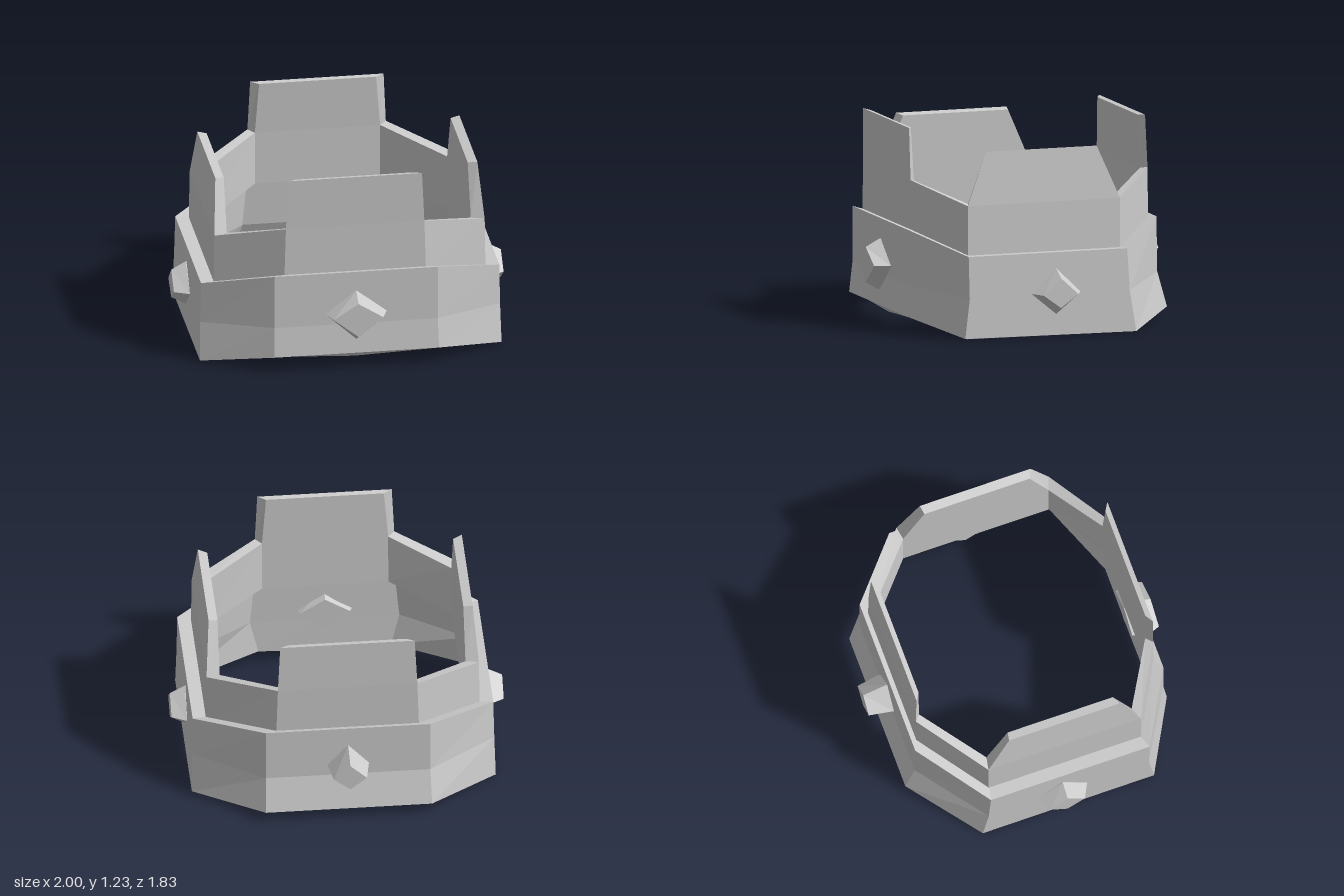
import * as THREE from 'three';

const material = new THREE.MeshStandardMaterial({ color: 0xcccccc, flatShading: true });

// Skins rows of points (each row a closed loop); optionally joins last row to first, or caps the ends.
function skin(name, rows, { closed = false, capStart = false, capEnd = false } = {}) {
  const n = rows[0].length, index = [];
  const last = closed ? rows.length : rows.length - 1;
  for (let j = 0; j < last; j++) {
    const k = (j + 1) % rows.length;
    for (let i = 0; i < n; i++) {
      const m = (i + 1) % n;
      const a = j * n + i, b = j * n + m, c = k * n + m, d = k * n + i;
      index.push(a, b, c, a, c, d);
    }
  }
  const end = (rows.length - 1) * n;
  for (let i = 1; i < n - 1; i++) {
    if (capStart) index.push(0, i + 1, i);
    if (capEnd) index.push(end, end + i, end + i + 1);
  }
  let geometry = new THREE.BufferGeometry();
  geometry.setAttribute('position', new THREE.Float32BufferAttribute(rows.flat(2), 3));
  geometry.setIndex(index);
  geometry = geometry.toNonIndexed();
  geometry.computeVertexNormals();
  const mesh = new THREE.Mesh(geometry, material);
  mesh.name = name;
  return mesh;
}

// Full octagon loop from its left half: centre front, ..., centre back.
const mirrorLoop = (half) => [
  ...half,
  ...half.slice(1, -1).reverse().map(([x, y, z]) => [-x, y, z]),
];

// Half loop from four corners, with a midpoint added at the front and back.
function octagon(front, sideFront, sideBack, back, frontMidY = front[1]) {
  return mirrorLoop([
    [0, frontMidY, front[2]], front, sideFront, sideBack, back, [0, back[1], back[2]],
  ]);
}

// Tapered diamond stud that passes through the wall; place maps (across, up, out) to the model.
function stud(name, place, wide, narrow, outs) {
  const row = (d, out) => [
    [d.mid, d.low, out], [d.mid + d.half, d.side, out],
    [d.mid, d.high, out], [d.mid - d.half, d.side, out],
  ].map(place);
  return skin(name, [row(narrow, outs[0]), row(wide, outs[1]), row(narrow, outs[2])],
    { capStart: true, capEnd: true });
}

export function createModel() {
  const model = new THREE.Group();
  model.name = 'crown';

  // Wide lower band, flared toward its lower edge
  model.add(skin('lowerBand', [
    octagon([0.5, 0.1, 0.84], [0.915, 0.01, 0.61], [0.915, 0, -0.48], [0.5, 0.07, -0.825]),
    octagon([0.495, 0.285, 0.82], [0.91, 0.25, 0.58], [0.91, 0.25, -0.44], [0.495, 0.285, -0.765]),
    octagon([0.495, 0.62, 0.82], [0.905, 0.505, 0.585], [0.905, 0.505, -0.425], [0.495, 0.62, -0.76]),
    octagon([0.42, 0.61, 0.775], [0.82, 0.5, 0.555], [0.82, 0.5, -0.405], [0.42, 0.61, -0.725]),
    octagon([0.45, 0.285, 0.775], [0.85, 0.25, 0.555], [0.85, 0.25, -0.415], [0.45, 0.285, -0.735]),
    octagon([0.4, 0.07, 0.77], [0.895, 0.005, 0.59], [0.9, 0.005, -0.475], [0.49, 0.075, -0.81], 0.05),
  ], { closed: true }));

  // Narrower upper band, set inside the lower one
  model.add(skin('upperBand', [
    octagon([0.43, 0.57, 0.78], [0.825, 0.46, 0.56], [0.825, 0.46, -0.41], [0.43, 0.57, -0.73]),
    octagon([0.42, 0.91, 0.78], [0.82, 0.8, 0.56], [0.82, 0.8, -0.41], [0.42, 0.91, -0.73]),
    octagon([0.38, 0.9, 0.745], [0.74, 0.8, 0.53], [0.74, 0.8, -0.395], [0.38, 0.9, -0.695]),
    octagon([0.38, 0.57, 0.735], [0.74, 0.46, 0.53], [0.74, 0.46, -0.395], [0.38, 0.57, -0.69]),
  ], { closed: true }));

  // Raised front and back panels
  model.add(skin('frontPanel', [
    [[-0.42, 0.91, 0.78], [0.42, 0.91, 0.78], [0.38, 0.9, 0.745], [-0.38, 0.9, 0.745]],
    [[-0.405, 1.225, 0.785], [0.405, 1.225, 0.785], [0.355, 1.22, 0.755], [-0.355, 1.22, 0.755]],
  ], { capEnd: true }));
  model.add(skin('backPanel', [
    [[0.42, 0.91, -0.73], [-0.42, 0.91, -0.73], [-0.38, 0.9, -0.695], [0.38, 0.9, -0.695]],
    [[0.405, 1.225, -0.72], [-0.405, 1.225, -0.72], [-0.355, 1.22, -0.69], [0.355, 1.22, -0.69]],
  ], { capEnd: true }));

  // Raised side panels and side studs
  for (const [side, s] of [['left', 1], ['right', -1]]) {
    const order = (row) => {
      const points = row.map(([x, y, z]) => [s * x, y, z]);
      return s > 0 ? points : points.reverse();
    };
    model.add(skin(side + 'Panel', [
      order([[0.82, 0.8, 0.56], [0.82, 0.8, -0.41], [0.74, 0.8, -0.395], [0.74, 0.8, 0.53]]),
      order([[0.795, 1.12, 0.435], [0.795, 1.12, -0.27], [0.74, 1.11, -0.26], [0.74, 1.11, 0.41]]),
    ], { capEnd: true }));
    model.add(stud(side + 'Stud', ([u, v, out]) => [s * out, v, -s * u],
      { mid: -0.03 * s, half: 0.155, low: 0.13, side: 0.26, high: 0.41 },
      { mid: -0.03 * s, half: 0.11, low: 0.18, side: 0.26, high: 0.36 },
      [0.82, 0.91, 1.0]));
  }

  // Front and back studs
  model.add(stud('frontStud', ([u, v, out]) => [u, v, out],
    { mid: 0, half: 0.185, low: 0.18, side: 0.355, high: 0.5 },
    { mid: 0, half: 0.15, low: 0.235, side: 0.355, high: 0.45 },
    [0.745, 0.82, 0.915]));
  model.add(stud('backStud', ([u, v, out]) => [-u, v, -out],
    { mid: 0, half: 0.125, low: 0.21, side: 0.36, high: 0.5 },
    { mid: 0, half: 0.1, low: 0.28, side: 0.36, high: 0.455 },
    [0.7, 0.765, 0.915]));

  return model;
}
